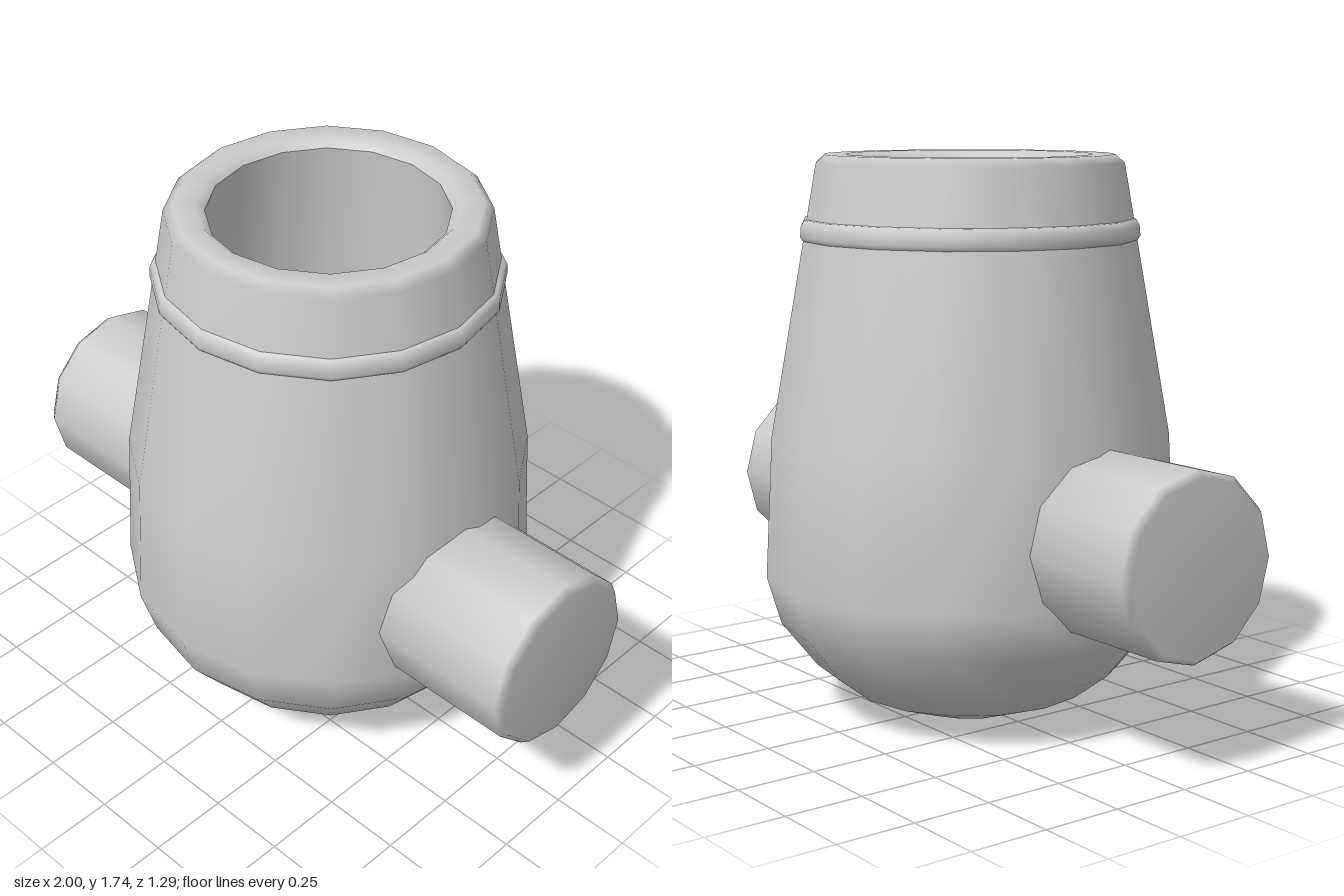
import * as THREE from 'three';

const material = new THREE.MeshStandardMaterial({ color: 0xcccccc });

// Solid of revolution from [radius, height] pairs, smooth shaded
function turned(name, profile, sides) {
  const points = profile.map(([r, y]) => new THREE.Vector2(r, y));
  const mesh = new THREE.Mesh(new THREE.LatheGeometry(points, sides), material);
  mesh.name = name;
  return mesh;
}

export function createModel() {
  const group = new THREE.Group();
  group.name = 'mortarBarrel';

  // Outer shell with bulbous base, tapering up to the bevelled muzzle
  group.add(turned('barrel', [
    [0, 0], [0.175, 0], [0.38, 0.075], [0.49, 0.16], [0.6, 0.3],
    [0.645, 0.45], [0.622, 0.89], [0.475, 1.715], [0.447, 1.74],
    [0.38, 1.74], [0.355, 1.715],
  ], 16));

  // Hollow bore with a rounded floor
  group.add(turned('bore', [
    [0.355, 1.715], [0.4, 1.3], [0.43, 0.8], [0.42, 0.55],
    [0.34, 0.36], [0.19, 0.26], [0, 0.22],
  ], 16));

  // Raised band below the muzzle
  group.add(turned('muzzleBand', [
    [0.49, 1.475], [0.515, 1.48], [0.525, 1.495], [0.523, 1.525],
    [0.513, 1.545], [0.49, 1.55],
  ], 16));

  // Trunnions on both sides, set slightly forward of the barrel axis
  for (const side of [1, -1]) {
    const trunnion = turned(side > 0 ? 'leftTrunnion' : 'rightTrunnion', [
      [0, 0.46], [0.28, 0.46], [0.28, 0.975], [0.262, 1], [0, 1],
    ], 12);
    trunnion.rotation.z = -side * Math.PI / 2;
    trunnion.position.set(0, 0.625, 0.05);
    group.add(trunnion);
  }

  return group;
}
